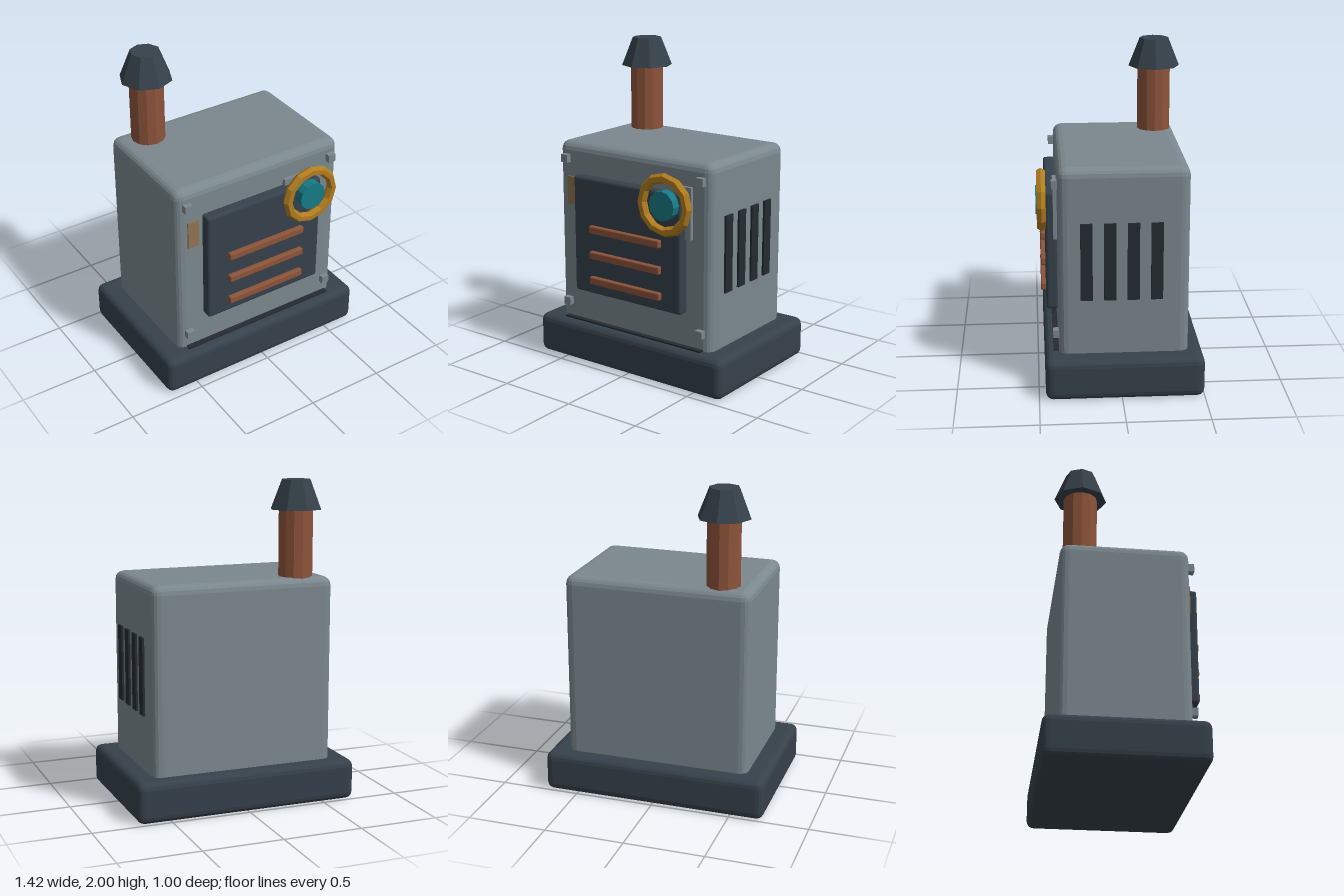
import * as THREE from 'three';
import { RoundedBoxGeometry } from 'three/addons/geometries/RoundedBoxGeometry.js';

const paint = (color) => new THREE.MeshStandardMaterial({ color, flatShading: true });

export function createModel() {
  const model = new THREE.Group();
  model.name = 'furnace';
  const steel = paint(0x7b888e), iron = paint(0x36414a), black = paint(0x242b30);
  const copper = paint(0x8d543a), brass = paint(0xb27d1f), tan = paint(0x8f7350), teal = paint(0x167a86);

  const add = (name, geometry, material, x, y, z) => {
    const mesh = new THREE.Mesh(geometry, material);
    mesh.name = name;
    mesh.position.set(x, y, z);
    model.add(mesh);
    return mesh;
  };
  // Box given by its limits on each axis, with an optional rounded edge
  const block = (name, material, [x0, x1], [y0, y1], [z0, z1], radius = 0) => {
    const size = [x1 - x0, y1 - y0, z1 - z0];
    const geometry = radius ? new RoundedBoxGeometry(...size, 2, radius) : new THREE.BoxGeometry(...size);
    return add(name, geometry, material, (x0 + x1) / 2, (y0 + y1) / 2, (z0 + z1) / 2);
  };

  // Plinth and cabinet
  block('base', iron, [-0.71, 0.71], [0, 0.255], [-0.5, 0.46], 0.045);
  block('body', steel, [-0.585, 0.585], [0.19, 1.41], [-0.41, 0.375], 0.055);
  block('bottomTrim', black, [-0.53, 0.53], [0.23, 0.265], [0.36, 0.408]);

  // Front door with copper slats
  block('door', iron, [-0.41, 0.41], [0.475, 1.22], [0.37, 0.445], 0.018);
  for (const y of [0.57, 0.735, 0.9]) {
    block('doorSlat', copper, [-0.27, 0.27], [y - 0.024, y + 0.024], [0.44, 0.475], 0.008);
  }

  // Small plates and corner rivets on the front
  block('gaugePlate', steel, [0.17, 0.45], [0.94, 1.26], [0.37, 0.398]);
  block('label', tan, [-0.51, -0.435], [1.01, 1.19], [0.365, 0.385]);
  for (const x of [-0.515, 0.515]) {
    for (const y of [0.365, 1.305]) {
      block('rivet', steel, [x - 0.025, x + 0.025], [y - 0.025, y + 0.025], [0.365, 0.409]);
    }
  }

  // Round gauge
  add('gaugeRing', new THREE.TorusGeometry(0.164, 0.031, 6, 12), brass, 0.31, 1.15, 0.467);
  const glass = add('gaugeGlass', new THREE.CylinderGeometry(0.09, 0.09, 0.06, 12), teal, 0.31, 1.15, 0.47);
  glass.rotation.x = Math.PI / 2;

  // Vents on one side only
  for (let i = 0; i < 4; i++) {
    const z = 0.207 - i * 0.14;
    block('sideVent', black, [0.56, 0.598], [0.6, 1.08], [z - 0.036, z + 0.036]);
  }

  // Chimney
  add('chimneyPipe', new THREE.CylinderGeometry(0.105, 0.105, 0.48, 12), copper, -0.387, 1.6, -0.277);
  add('chimneyCap', new THREE.CylinderGeometry(0.092, 0.163, 0.18, 8), iron, -0.387, 1.91, -0.277);

  return model;
}
